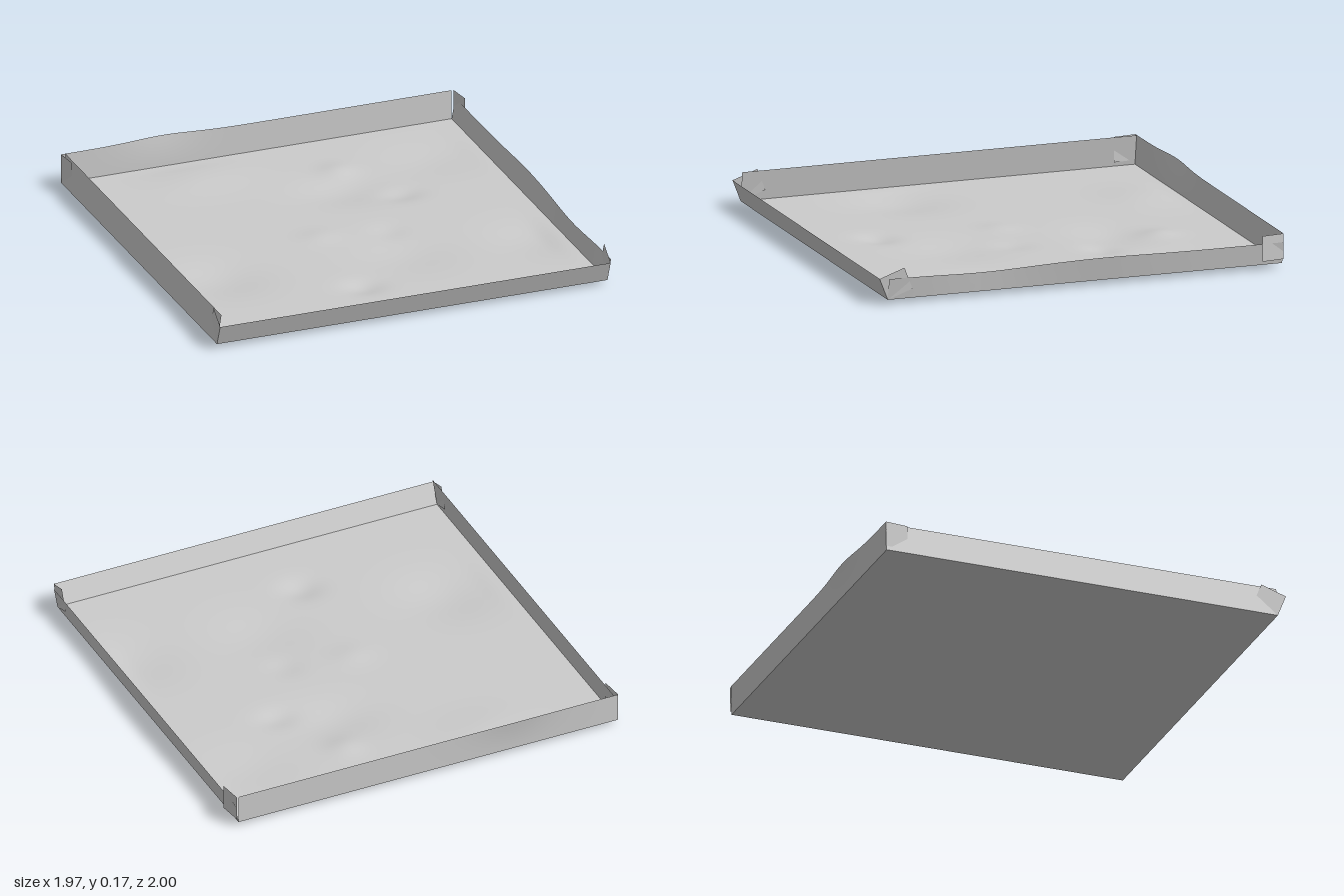
import * as THREE from 'three';

const X0 = -0.985, X1 = 0.957, Z0 = -0.985, Z1 = 0.96, BASE = 0.027;
const lerp = THREE.MathUtils.lerp;
const material = new THREE.MeshStandardMaterial({ color: 0xcccccc, side: THREE.DoubleSide });

// Thin sheet whose point at (u, v), both 0..1, is given by a rule
function sheet(name, nu, nv, rule) {
  const geo = new THREE.PlaneGeometry(1, 1, nu, nv);
  const pos = geo.attributes.position, uv = geo.attributes.uv;
  for (let i = 0; i < pos.count; i++) pos.setXYZ(i, ...rule(uv.getX(i), uv.getY(i)));
  geo.computeVertexNormals();
  const mesh = new THREE.Mesh(geo, material);
  mesh.name = name;
  return mesh;
}

const bell = (d, r) => Math.exp(-((d / r) ** 2));

// Dents and bumps in the floor: x, z, radius x, radius z, height
const bumps = [
  [-0.7, 0.28, 0.2, 0.2, -0.022],
  [0.2, -0.42, 0.2, 0.15, -0.018],
  [0.82, 0.4, 0.18, 0.2, -0.016],
  [0.2, 0.35, 0.2, 0.2, -0.015],
  [-0.12, 0.61, 0.09, 0.08, -0.018],
  [0.43, -0.29, 0.09, 0.07, -0.014],
  [0.25, -0.64, 0.08, 0.08, 0.012],
  [0.22, 0.07, 0.08, 0.08, -0.008],
  [-0.1, 0.02, 0.09, 0.08, 0.008],
  [-0.4, -0.78, 0.22, 0.16, 0.012],
  [0.7, -0.6, 0.2, 0.18, -0.012],
];

function floorHeight(x, z) {
  let h = 0;
  for (const [bx, bz, rx, rz, a] of bumps) h += a * bell(x - bx, rx) * bell(z - bz, rz);
  // Flat along the folds
  const edge = Math.min(x - X0, X1 - x, z - Z0, Z1 - z);
  return Math.max(0, BASE + h * THREE.MathUtils.smoothstep(edge, 0, 0.12));
}

export function createModel() {
  const g = new THREE.Group();
  g.name = 'tray';

  g.add(sheet('floor', 72, 72, (u, v) => {
    const x = lerp(X0, X1, u), z = lerp(Z1, Z0, v);
    return [x, floorHeight(x, z), z];
  }));

  // Front wall leans outward
  g.add(sheet('frontWall', 1, 1, (u, v) =>
    [lerp(X0, X1, u), lerp(BASE, 0.13, v), lerp(Z1, 1, v)]));

  // Back wall bulges outward near its right end
  g.add(sheet('backWall', 48, 6, (u, v) => {
    const x = lerp(X1, X0, u), b = bell(x + 0.47, 0.2) * v * v;
    return [x, lerp(BASE, 0.17, v) + 0.008 * b, Z0 - 0.003 * v - 0.012 * b];
  }));

  // Right wall leans slightly inward
  g.add(sheet('rightWall', 1, 1, (u, v) =>
    [lerp(X0, -0.963, v), lerp(BASE, 0.17, v), lerp(Z0, Z1, u)]));

  // Left wall leans outward with a wavy rim
  g.add(sheet('leftWall', 48, 4, (u, v) => {
    const z = lerp(Z1, Z0, u);
    const wave = 0.008 * bell(z + 0.1, 0.3) - 0.01 * bell(z - 0.5, 0.25);
    return [X1 + v * (0.018 + 0.6 * wave), lerp(BASE, 0.13 + wave, v), z];
  }));

  // Corner tabs folded back from the ends of the front and back walls
  for (const side of [-1, 1]) {
    const name = side > 0 ? 'left' : 'right';
    const start = side > 0 ? X1 : X0;
    g.add(sheet(name + 'FrontTab', 1, 1, (u, v) => [
      start + 0.014 * u,
      lerp(BASE, 0.13, v) + 0.047 * u,
      lerp(Z1, 1, v) - 0.117 * u,
    ]));
    g.add(sheet(name + 'BackTab', 1, 1, (u, v) => [
      start + (side > 0 ? 0.01 + 0.015 * u : 0.012 * u),
      lerp(0.048, 0.17, v),
      Z0 - 0.003 + 0.11 * u,
    ]));
  }
  return g;
}
